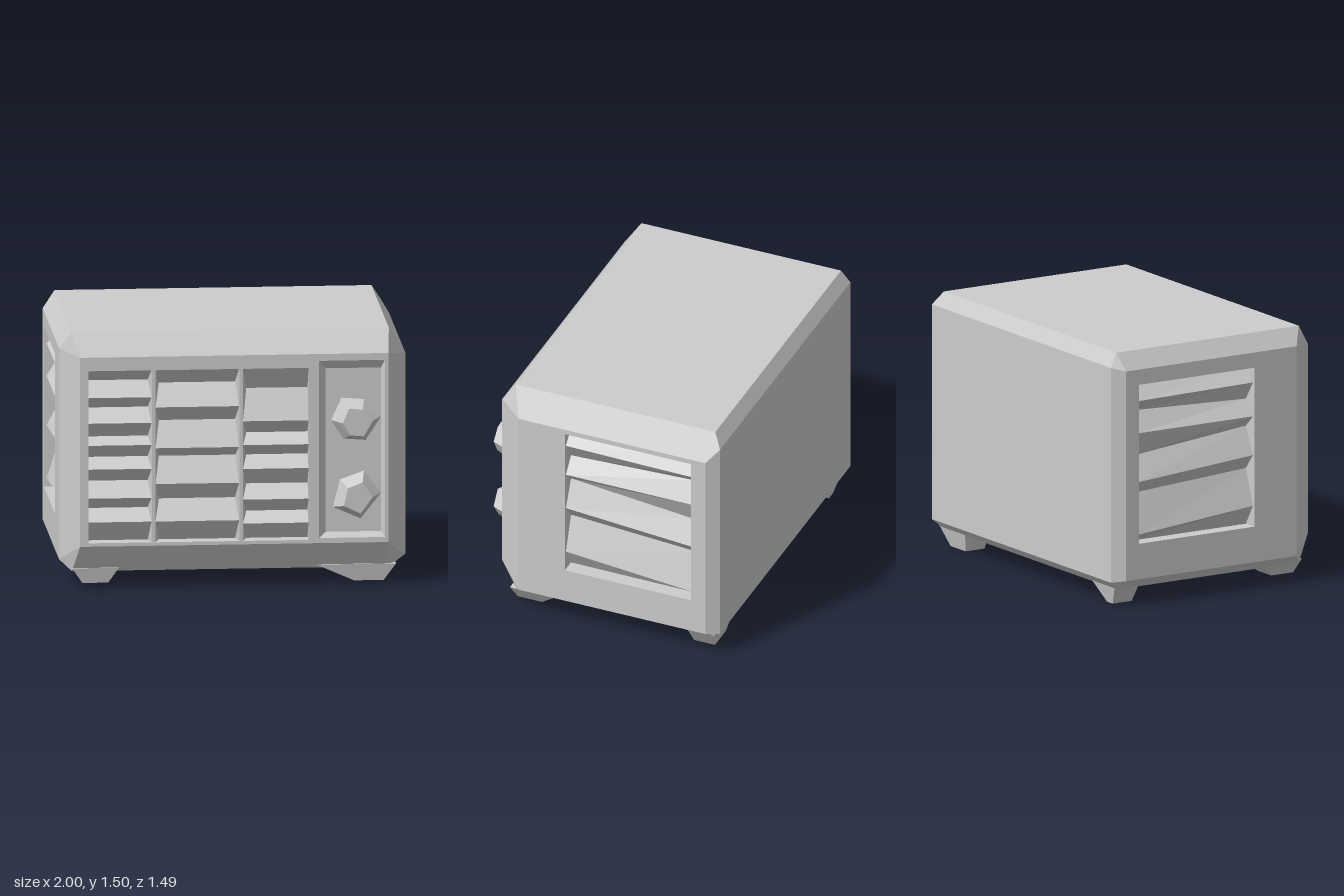
import * as THREE from 'three';
import { ConvexGeometry } from 'three/addons/geometries/ConvexGeometry.js';

const grey = new THREE.MeshStandardMaterial({ color: 0xcccccc });

// Collects flat polygons (counter-clockwise from outside) into one faceted mesh
class Faces {
  constructor() { this.p = []; }
  poly(...pts) {
    for (let i = 1; i < pts.length - 1; i++) this.p.push(...pts[0], ...pts[i], ...pts[i + 1]);
  }
  // Polygon turned to face away from the body's middle
  outward(...pts) {
    const [a, b, c] = pts.map(q => new THREE.Vector3(...q));
    const n = b.clone().sub(a).cross(c.clone().sub(a));
    const out = a.add(b).add(c).divideScalar(3).sub(new THREE.Vector3(0, 0.8, 0));
    this.poly(...(n.dot(out) < 0 ? pts.reverse() : pts));
  }
  // Four quads between two four-cornered loops
  ring(outer, inner) {
    for (let i = 0; i < 4; i++) {
      const j = (i + 1) % 4;
      this.poly(outer[i], outer[j], inner[j], inner[i]);
    }
  }
  mesh(name) {
    const g = new THREE.BufferGeometry();
    g.setAttribute('position', new THREE.Float32BufferAttribute(this.p, 3));
    g.computeVertexNormals();
    return named(g, name);
  }
}

function named(geometry, name) {
  const m = new THREE.Mesh(geometry, grey);
  m.name = name;
  return m;
}

function solid(points, name) {
  return named(new ConvexGeometry(points.map(q => new THREE.Vector3(...q))), name);
}

// Face frames: u to the right, v up, d outward
const front = (u, v, d) => [u, v, d];
const leftSide = (u, v, d) => [d, v, -u];
const rightSide = (u, v, d) => [-d, v, u];
const rect = (at, u0, u1, v0, v1, d) => [at(u0, v0, d), at(u1, v0, d), at(u1, v1, d), at(u0, v1, d)];

// Zigzag louvre sheet; rows alternate crest and valley heights from the top down
function louvres(at, u0, u1, rows0, rows1, crest, valley, name) {
  const f = new Faces();
  for (let i = 0; i < rows0.length - 1; i++) {
    const da = i % 2 ? valley : crest, db = i % 2 ? crest : valley;
    f.poly(at(u0, rows0[i + 1], db), at(u1, rows1[i + 1], db), at(u1, rows1[i], da), at(u0, rows0[i], da));
  }
  return f.mesh(name);
}

export function createModel() {
  const group = new THREE.Group();
  group.name = 'heater';

  // Chamfered shell: each corner has a point on the side, top/bottom and front/back face
  const X = (x, y, z) => [x, y > 0 ? (x > 0 ? 1.34 : 1.4) : 0.16, z > 0 ? 0.5 : -0.67];
  const Y = (x, y, z) => [x * (x > 0 ? 0.9 : 0.93), y > 0 ? 1.5 : 0.1, z > 0 ? 0.56 : -0.69];
  const Z = (x, y, z) => z > 0 ? [x * 0.89, y > 0 ? 1.37 : 0.26, 0.65]
    : [x * 0.95, y > 0 ? 1.42 : 0.15, -0.74];
  const shell = new Faces();
  const S = [-1, 1];
  for (const a of S) {
    for (const b of S) {
      shell.outward(Y(-1, a, b), Y(1, a, b), Z(1, a, b), Z(-1, a, b));
      shell.outward(X(a, -1, b), X(a, 1, b), Z(a, 1, b), Z(a, -1, b));
      shell.outward(X(a, b, -1), X(a, b, 1), Y(a, b, 1), Y(a, b, -1));
      for (const c of S) shell.outward(X(a, b, c), Y(a, b, c), Z(a, b, c));
    }
    shell.outward(Y(-1, a, -1), Y(1, a, -1), Y(1, a, 1), Y(-1, a, 1));
  }
  shell.outward(Z(-1, -1, -1), Z(1, -1, -1), Z(1, 1, -1), Z(-1, 1, -1));

  // Front frame around the grille opening and the control panel
  const grille = d => rect(front, -0.84, 0.43, 0.28, 1.29, d);
  shell.ring(rect(front, -0.89, 0.47, 0.26, 1.37, 0.65), grille(0.65));
  shell.ring(grille(0.65), grille(0.55));
  const panel = rect(front, 0.49, 0.87, 0.29, 1.33, 0.65);
  const panelBack = rect(front, 0.53, 0.85, 0.32, 1.28, 0.62);
  shell.ring(rect(front, 0.47, 0.89, 0.26, 1.37, 0.65), panel);
  shell.ring(panel, panelBack);

  // Side frames around the vents
  const vents = [[leftSide, 1, -0.21, 0.58], [rightSide, -1, -0.58, 0.21]];
  for (const [at, x, u0, u1] of vents) {
    const edge = rect(at, u0, u1, 0.37, 1.31, 1);
    shell.ring([X(x, -1, x), X(x, -1, -x), X(x, 1, -x), X(x, 1, x)], edge);
    shell.ring(edge, rect(at, u0, u1, 0.37, 1.31, 0.9));
  }
  group.add(shell.mesh('shell'));

  const panelFace = new Faces();
  panelFace.poly(...panelBack);
  group.add(panelFace.mesh('controlPanel'));

  // Side vents, slats uneven from front to back
  const ventFront = [1.31, 1.3, 1.22, 1.11, 1.02, 0.95, 0.79, 0.7, 0.49, 0.37];
  const ventBack = [1.31, 1.3, 1.21, 1.14, 1.02, 0.87, 0.73, 0.65, 0.42, 0.37];
  for (const [at, x, u0, u1] of vents) {
    const [a, b] = x > 0 ? [ventFront, ventBack] : [ventBack, ventFront];
    group.add(louvres(at, u0, u1, a, b, 0.985, 0.91, x > 0 ? 'leftVent' : 'rightVent'));
  }

  // Front grille in three columns
  const columns = [
    [-0.84, -0.46, [1.29, 1.22, 1.13, 1.06, 0.98, 0.89, 0.85, 0.77, 0.71, 0.63, 0.54, 0.47, 0.4, 0.28]],
    [-0.46, 0.04, [1.29, 1.2, 1.07, 0.98, 0.83, 0.77, 0.62, 0.52, 0.4, 0.28]],
    [0.04, 0.43, [1.29, 1.16, 0.98, 0.9, 0.84, 0.77, 0.7, 0.6, 0.52, 0.44, 0.38, 0.28]],
  ];
  for (const [u0, u1, rows] of columns)
    group.add(louvres(front, u0, u1, rows, rows, 0.64, 0.56, 'grilleSlats'));

  // Wedge-shaped posts between the columns
  for (const x of [-0.465, 0.04]) {
    const pts = [];
    for (const y of [0.28, 1.29]) pts.push([x - 0.03, y, 0.55], [x + 0.04, y, 0.55], [x - 0.01, y, 0.645], [x + 0.01, y, 0.645]);
    group.add(solid(pts, 'grillePost'));
  }

  // Faceted knobs
  const knobs = [
    [0.71, 0.98, [[0.56, 0.98], [0.62, 1.11], [0.75, 1.1], [0.85, 1.0], [0.76, 0.86], [0.63, 0.87]]],
    [0.71, 0.54, [[0.57, 0.47], [0.61, 0.63], [0.75, 0.68], [0.85, 0.55], [0.73, 0.4]]],
  ];
  for (const [cx, cy, outline] of knobs) {
    const pts = [];
    for (const [x, y] of outline) {
      pts.push([x, y, 0.64]);
      pts.push([cx + (x - cx) * 0.6, cy + (y - cy) * 0.65, 0.745]);
    }
    group.add(solid(pts, 'knob'));
  }

  // Tapered feet: top rectangle, then bottom rectangle (x0, x1, z0, z1) and bottom height
  const feet = [
    ['frontLeftFoot', [0.48, 0.94, 0.3, 0.58], [0.7, 0.87, 0.41, 0.56], 0.02],
    ['frontRightFoot', [-0.93, -0.66, 0.31, 0.58], [-0.87, -0.72, 0.41, 0.56], 0.03],
    ['backLeftFoot', [0.66, 0.94, -0.7, -0.53], [0.7, 0.86, -0.67, -0.54], 0],
    ['backRightFoot', [-0.93, -0.67, -0.7, -0.53], [-0.86, -0.8, -0.67, -0.54], 0],
  ];
  for (const [name, t, b, y] of feet) {
    const pts = [];
    for (const [r, h] of [[t, 0.12], [b, y]])
      for (const x of [r[0], r[1]]) for (const z of [r[2], r[3]]) pts.push([x, h, z]);
    group.add(solid(pts, name));
  }
  return group;
}
